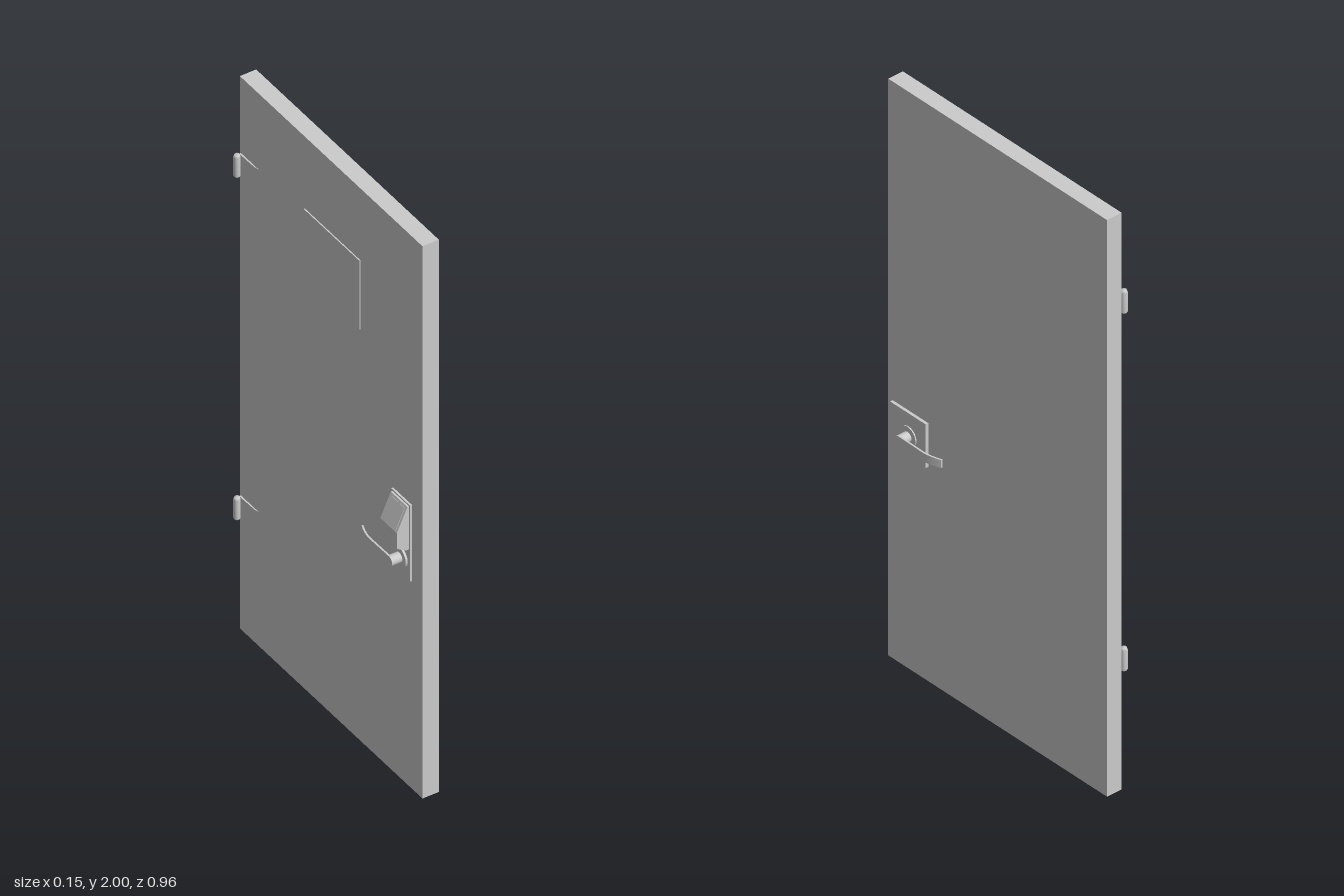
import * as THREE from 'three';

const grey = new THREE.MeshStandardMaterial({ color: 0xcccccc });
const greyDouble = new THREE.MeshStandardMaterial({ color: 0xcccccc, side: THREE.DoubleSide });

function add(parent, name, geometry, x = 0, y = 0, z = 0, material = grey) {
  const mesh = new THREE.Mesh(geometry, material);
  mesh.name = name;
  mesh.position.set(x, y, z);
  parent.add(mesh);
  return mesh;
}

// Box given by its minimum and maximum on each axis
function addBox(parent, name, x0, x1, y0, y1, z0, z1) {
  return add(parent, name, new THREE.BoxGeometry(x1 - x0, y1 - y0, z1 - z0),
    (x0 + x1) / 2, (y0 + y1) / 2, (z0 + z1) / 2);
}

// Disc or rod lying along x from x0 to x1
function addRod(parent, name, radius, x0, x1, y, z) {
  const geometry = new THREE.CylinderGeometry(radius, radius, x1 - x0, 32).rotateZ(Math.PI / 2);
  return add(parent, name, geometry, (x0 + x1) / 2, y, z);
}

// Hollow slab, open underneath
function createSlab() {
  const geometry = new THREE.BoxGeometry(0.056, 2, 0.95);
  const index = Array.from(geometry.index.array);
  index.splice(18, 6); // remove the bottom face
  geometry.setIndex(index);
  geometry.clearGroups();
  return geometry;
}

// Lever set pointing along +x: rosette, spindle and a bent, tapering lever
function createLever(name) {
  const group = new THREE.Group();
  group.name = name;
  addRod(group, 'rosette', 0.034, 0.028, 0.042, 0, 0.377);
  addRod(group, 'spindle', 0.017, 0.04, 0.077, 0, 0.377);

  const grip = new THREE.BoxGeometry(0.006, 0.034, 0.167, 1, 1, 24).translate(0.074, 0, 0.2935);
  const p = grip.attributes.position;
  for (let i = 0; i < p.count; i++) {
    const z = p.getZ(i);
    const bend = Math.max(0, (0.275 - z) / 0.065);
    const taper = (0.377 - z) / 0.167;
    p.setX(i, p.getX(i) - 0.016 * bend ** 1.7);
    p.setY(i, p.getY(i) * (1 - 0.2 * taper));
  }
  grip.computeVertexNormals();
  add(group, 'leverGrip', grip);
  return group;
}

// Wedge-shaped lock housing: side profile extruded across its width
function createHousing() {
  const profile = new THREE.Shape([
    [-0.03, 1.023], [-0.041, 1.023], [-0.077, 0.943], [-0.077, 0.887], [-0.045, 0.867], [-0.03, 0.867],
  ].map(([x, y]) => new THREE.Vector2(x, y)));
  return new THREE.ExtrudeGeometry(profile, { depth: 0.086, bevelEnabled: false }).translate(0, 0, 0.332);
}

function createHinge(y) {
  const group = new THREE.Group();
  group.name = 'hinge';
  group.position.y = y;
  const h = 0.039;

  // Knuckle with chamfered ends
  const profile = [[0, -h], [0.009, -h], [0.011, -h + 0.004], [0.011, h - 0.008], [0.008, h], [0, h]]
    .map(([r, v]) => new THREE.Vector2(r, v));
  const geometry = new THREE.LatheGeometry(profile, 20);
  add(group, 'hingeKnuckle', geometry, -0.041, 0, -0.468);

  // Leaf thinning out towards its free edge
  const leaf = new THREE.Shape([
    [-0.026, 0.468], [-0.034, 0.468], [-0.032, 0.39], [-0.0275, 0.372], [-0.026, 0.372],
  ].map(([x, z]) => new THREE.Vector2(x, z)));
  const leafGeometry = new THREE.ExtrudeGeometry(leaf, { depth: 2 * h, bevelEnabled: false })
    .rotateX(-Math.PI / 2).translate(0, -h, 0);
  add(group, 'hingeLeaf', leafGeometry);
  return group;
}

export function createModel() {
  const model = new THREE.Group();
  model.name = 'door';

  add(model, 'doorSlab', createSlab(), 0, 1, 0.002, greyDouble);
  addBox(model, 'signPlate', -0.032, -0.027, 1.49, 1.74, -0.135, 0.155);

  // Hinges on the outer face
  for (const y of [0.446, 1.686]) model.add(createHinge(y));

  // Inner side: square escutcheon
  const inner = new THREE.Group();
  inner.name = 'innerLock';
  addBox(inner, 'escutcheon', 0.027, 0.038, 0.743, 0.895, 0.303, 0.457);

  // Outer side: tall back plate with lock housing
  const outer = new THREE.Group();
  outer.name = 'outerLock';
  addBox(outer, 'backPlate', -0.035, -0.027, 0.753, 1.028, 0.325, 0.423);
  add(outer, 'lockHousing', createHousing());

  // Raised panel on the housing's sloping face
  const slope = Math.atan2(0.036, 0.08);
  const panel = addBox(outer, 'keypadPanel', -0.0605, -0.0585, 0.947, 1.019, 0.34, 0.41);
  panel.rotation.z = -slope;

  // Matching levers on both sides
  [[inner, 0], [outer, Math.PI]].forEach(([side, turn]) => {
    const lever = createLever('lever');
    lever.position.y = 0.816;
    lever.rotation.z = turn;
    side.add(lever);
    model.add(side);
  });

  return model;
}
